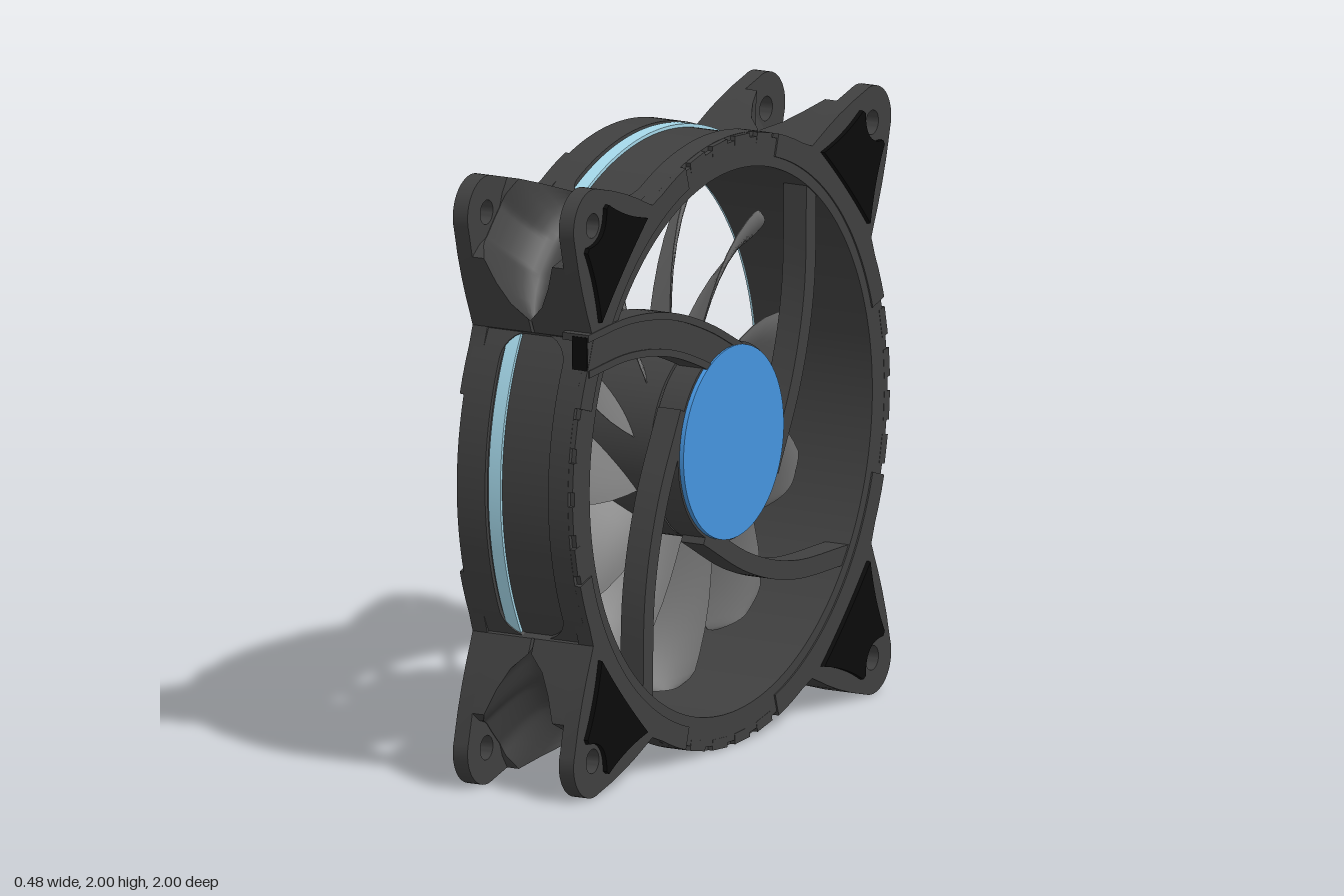
import * as THREE from 'three';
import { toCreasedNormals } from 'three/addons/utils/BufferGeometryUtils.js';

const DEG = Math.PI / 180;
const paint = (color) => new THREE.MeshStandardMaterial({ color });
const DARK = paint(0x404040), BLACK = paint(0x0a0a0a), BLADE = paint(0x787878);
const GLOW = paint(0xa5d8ea), BLUE = paint(0x4695df), RED = paint(0x9a3640);

// Skin a list of closed cross-sections, each a list of [x, y, z]
function loft(sections, closed = false) {
  const n = sections[0].length, m = sections.length, index = [];
  for (let i = 0; i < (closed ? m : m - 1); i++) {
    for (let j = 0; j < n; j++) {
      const k = (j + 1) % n, p = i * n, q = ((i + 1) % m) * n;
      index.push(p + j, q + j, q + k, p + j, q + k, p + k);
    }
  }
  if (!closed) {
    const e = (m - 1) * n;
    for (let j = 1; j < n - 1; j++) index.push(0, j, j + 1, e, e + j + 1, e + j);
  }
  const g = new THREE.BufferGeometry();
  g.setAttribute('position', new THREE.Float32BufferAttribute(sections.flat(2), 3));
  g.setIndex(index);
  return toCreasedNormals(g, 0.6);
}

const polar = (r, a, z) => [r * Math.cos(a), r * Math.sin(a), z];

// Rectangular band around the axis; box(deg) gives [rIn, rOut, low, high]
function band(from, to, box) {
  const full = to - from === 360, sections = [];
  for (let d = from; d < to + (full ? 0 : 1); d++) {
    const [r1, r2, lo, hi] = box(d), a = d * DEG;
    sections.push([polar(r1, a, lo), polar(r2, a, lo), polar(r2, a, hi), polar(r1, a, hi)]);
  }
  return loft(sections, full);
}

// Flat bar of a given width following a curve
function strut(points, width, lo, hi, offset = 0) {
  const curve = new THREE.CatmullRomCurve3(points.map(([x, y]) => new THREE.Vector3(x, y, 0)));
  const sections = [];
  for (let i = 0; i <= 24; i++) {
    const p = curve.getPoint(i / 24), t = curve.getTangent(i / 24);
    const at = (s, z) => [p.x + t.y * s, p.y - t.x * s, z];
    const a = offset - width / 2, b = offset + width / 2;
    sections.push([at(a, lo), at(b, lo), at(b, hi), at(a, hi)]);
  }
  return loft(sections);
}

// One swept, twisted fan blade with a blunt tip
function bladeGeometry() {
  const sections = [];
  for (const r of [0.3, 0.38, 0.46, 0.54, 0.62, 0.7, 0.77, 0.815, 0.835, 0.845, 0.85]) {
    const t = (r - 0.32) / 0.53;
    const round = r > 0.815 ? Math.sqrt(1 - ((r - 0.815) / 0.045) ** 2) : 1;
    const half = 0.098 * round;
    const centre = (87 - 12 * t * t) * DEG;
    const pitch = (0.1 - 0.045 * t) * round;
    const point = (c, side) => polar(r, centre + c * half / r,
      -0.055 + c * pitch + 0.02 * (1 - c * c) + side * 0.008 * (1 - 0.8 * c * c));
    const loop = [];
    for (let j = 0; j <= 10; j++) loop.push(point(j / 5 - 1, -1));
    for (let j = 0; j <= 10; j++) loop.push(point(1 - j / 5, 1));
    sections.push(loop.reverse());
  }
  return loft(sections);
}

// Outline of a mounting ear in the first quadrant, ordered by angle
function earOutline() {
  const half = [17, 20, 23, 26].map((d) => [Math.cos(d * DEG), Math.sin(d * DEG)]);
  half.push([0.875, 0.503], [0.895, 0.55], [0.917, 0.6], [0.944, 0.67], [0.97, 0.75]);
  for (let d = -20; d < 45; d += 8) half.push([0.88 + 0.12 * Math.cos(d * DEG), 0.88 + 0.12 * Math.sin(d * DEG)]);
  return [...half, ...half.slice().reverse().map(([x, y]) => [y, x])];
}

// Solid side of a corner with a scoop that widens towards the tip
function cornerWeb(outline) {
  return loft(outline.filter(([x, y]) => Math.min(x, y) > 0.5).map(([x, y]) => {
    const a = Math.atan2(y, x), fromTip = Math.abs(a / DEG - 45);
    const reach = Math.min(Math.hypot(x, y), 1.19 + 0.012 * Math.max(0, fromTip - 3));
    const open = Math.min(0.168, 0.17 * Math.sqrt(Math.max(0.001, (Math.min(x, y) - 0.56) / 0.34)));
    const loop = [polar(0.94, a, -0.172), polar(reach, a, -0.172)];
    for (let j = -8; j <= 8; j++) loop.push(polar(1 + (reach - 1) * (j / 8) ** 2, a, j / 8 * open));
    loop.push(polar(reach, a, 0.172), polar(0.94, a, 0.172));
    return loop;
  }));
}

export function createModel() {
  const model = new THREE.Group();
  model.name = 'coolingFan';
  const fan = new THREE.Group();
  fan.name = 'fanAssembly';
  // Built around z, then turned so the axis lies along x
  fan.rotation.y = Math.PI / 2;
  fan.position.y = 1;
  model.add(fan);
  const add = (name, geometry, material, parent = fan) => {
    const mesh = new THREE.Mesh(geometry, material);
    mesh.name = name;
    parent.add(mesh);
    return mesh;
  };
  const disc = (name, r, lo, hi, material) => {
    const g = new THREE.CylinderGeometry(r, r, hi - lo, 64).rotateX(Math.PI / 2);
    return add(name, g.translate(0, 0, (lo + hi) / 2), material);
  };

  // Round housing with raised rims that leave a rounded recess on each side
  const recess = (d) => {
    const off = Math.abs(((d + 45) % 90) - 45);
    return off > 30.5 ? 0 : off < 24.5 ? 1 : Math.sqrt(1 - ((off - 24.5) / 6) ** 2);
  };
  add('housingWall', band(0, 360, () => [0.89, 0.985, -0.21, 0.22]), DARK);
  add('backRim', band(0, 360, (d) => [0.95, 1, -0.21, 0.005 - 0.11 * recess(d)]), DARK);
  add('frontRim', band(0, 360, (d) => [0.95, 1, 0.005 + 0.125 * recess(d), 0.204]), DARK);
  add('backLightRing', band(0, 360, () => [0.892, 0.92, -0.218, -0.19]), GLOW);

  // Small teeth around the strut-side rim
  for (let i = 0; i < 44; i++) {
    const tooth = add('rimTooth', new THREE.BoxGeometry(0.035, 0.095, 0.03), DARK);
    const a = (i + 0.5) / 44 * Math.PI * 2;
    tooth.position.set(...polar(0.981, a, 0.206));
    tooth.rotation.z = a;
  }

  // Ear plate with screw hole
  const outline = earOutline();
  const earShape = new THREE.Shape(outline.map(([x, y]) => new THREE.Vector2(x, y)));
  earShape.absarc(0, 0, 0.925, 73 * DEG, 17 * DEG, true);
  const hole = new THREE.Path();
  hole.absarc(0.88, 0.88, 0.04, 0, Math.PI * 2, true);
  earShape.holes.push(hole);
  const ear = toCreasedNormals(
    new THREE.ExtrudeGeometry(earShape, { depth: 0.055, bevelEnabled: false, curveSegments: 24 }), 0.6);
  const web = cornerWeb(outline);

  // Rubber pad, hollowed around the screw hole
  const padShape = new THREE.Shape();
  padShape.moveTo(0.845, 0.555);
  padShape.quadraticCurveTo(0.875, 0.7, 0.935, 0.8);
  padShape.lineTo(0.925, 0.815);
  padShape.quadraticCurveTo(0.815, 0.815, 0.815, 0.925);
  padShape.lineTo(0.8, 0.935);
  padShape.quadraticCurveTo(0.7, 0.875, 0.555, 0.845);
  padShape.quadraticCurveTo(0.71, 0.71, 0.845, 0.555);
  const pad = new THREE.ExtrudeGeometry(padShape, { depth: 0.03, bevelEnabled: false });

  const strip = band(-30, 30, () => [0.95, 0.996, -0.095, -0.05]);
  for (let q = 0; q < 4; q++) {
    const corner = new THREE.Group();
    corner.name = 'mountingCorner';
    corner.rotation.z = q * Math.PI / 2;
    fan.add(corner);
    add('frontEar', ear, DARK, corner).position.z = 0.17;
    add('backEar', ear, DARK, corner).position.z = -0.225;
    add('cornerWeb', web, DARK, corner);
    add('frontPad', pad, BLACK, corner).position.z = 0.21;
    add('backPad', pad, BLACK, corner).position.z = -0.24;
    add('sideLightStrip', strip, GLOW, corner);
  }

  // Three slim struts and one wide cable channel
  const arm = strut([[0.515, 0.76], [0.5, 0.4], [0.425, 0.13], [0.28, -0.15]], 0.062, 0.13, 0.215);
  for (const turn of [0, -1, -2]) add('strut', arm, DARK).rotation.z = turn * Math.PI / 2;
  const cablePath = [[-0.908, 0.455], [-0.65, 0.465], [-0.4, 0.43], [-0.17, 0.35], [0.03, 0.25]];
  add('cableChannel', strut(cablePath, 0.14, 0.165, 0.224), DARK);
  for (const s of [-1, 1]) add('channelRail', strut(cablePath, 0.024, 0.13, 0.228, s * 0.059), DARK);
  add('cableExit', new THREE.BoxGeometry(0.03, 0.125, 0.055).translate(-0.898, 0.455, 0.196), BLACK);

  // Hub
  disc('motorMount', 0.325, 0.12, 0.215, DARK);
  disc('motorLabel', 0.316, 0.2, 0.23, BLUE);
  disc('rotorHub', 0.322, -0.2, 0.11, DARK);
  disc('rotorCap', 0.312, -0.208, -0.19, RED);

  // Eleven blades
  const blade = bladeGeometry();
  for (let i = 0; i < 11; i++) add('blade', blade, BLADE).rotation.z = i * Math.PI * 2 / 11;
  return model;
}
